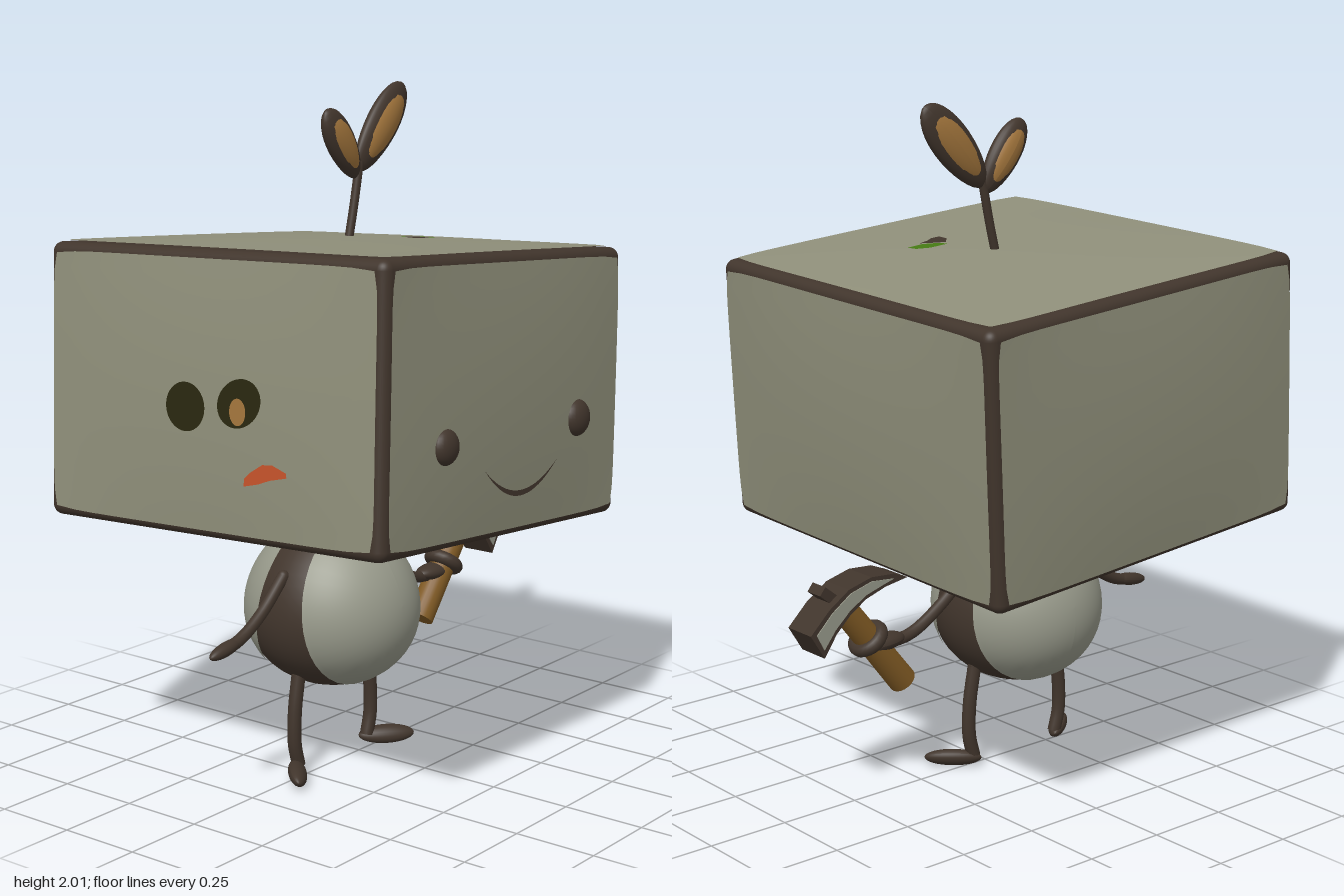
import * as THREE from 'three';
import { RoundedBoxGeometry } from 'three/addons/geometries/RoundedBoxGeometry.js';

const V = (x, y, z) => new THREE.Vector3(x, y, z);

export function createModel() {
  const paint = (name, color) => {
    const m = new THREE.MeshStandardMaterial({ color });
    m.name = name;
    return m;
  };
  const shellGrey = paint('shell grey', 0x8f8f7a);
  const paleGrey = paint('pale grey', 0x989a8b);
  const brown = paint('dark brown', 0x41352c);
  const olive = paint('dark olive', 0x29270f);
  const tan = paint('leaf tan', 0xa2753c);
  const wood = paint('handle wood', 0x805a24);
  const orange = paint('orange', 0xc4522a);
  const green = paint('green', 0x457a14);

  const model = new THREE.Group();
  const add = (name, geometry, material, parent = model) => {
    const mesh = new THREE.Mesh(geometry, material);
    mesh.name = name;
    parent.add(mesh);
    return mesh;
  };
  // Ellipsoid stretched between two points
  const blob = (name, a, b, thick, width, material, taper = 0) => {
    const half = a.distanceTo(b) / 2;
    const g = new THREE.SphereGeometry(1, 24, 16);
    const p = g.attributes.position;
    for (let i = 0; i < p.count; i++) {
      const y = p.getY(i), k = 1 + taper * y;
      p.setXYZ(i, p.getX(i) * thick * k, y * half, p.getZ(i) * width * k);
    }
    g.computeVertexNormals();
    const mesh = add(name, g, material);
    mesh.position.copy(a).lerp(b, 0.5);
    mesh.quaternion.setFromUnitVectors(V(0, 1, 0), b.clone().sub(a).normalize());
    return mesh;
  };
  const tube = (name, points, radius) => {
    add(name, new THREE.TubeGeometry(new THREE.CatmullRomCurve3(points), 16, radius, 12), brown);
    blob(name + 'Root', points[0].clone().setY(points[0].y - radius),
      points[0].clone().setY(points[0].y + radius), radius, radius, brown);
  };
  const polygon = (pts) => new THREE.Shape(pts.map(([x, y]) => new THREE.Vector2(x, y)));

  // Tilted box head: brown frame with a bulging panel on every side
  const W = 1.2, H = 0.79, D = 1.165;
  const head = new THREE.Group();
  head.name = 'head';
  head.position.set(-0.015, 1.162, 0.08);
  head.rotation.set(-0.078, 0.01, 0.04);
  model.add(head);
  add('headFrame', new RoundedBoxGeometry(W, H, D, 4, 0.03), brown, head);

  const bulge = (x, y, w, h) => 0.004 + 0.02 * (1 - (2 * x / w) ** 2) * (1 - (2 * y / h) ** 2);
  const side = (name, w, h, depth, rx, ry) => {
    const turn = new THREE.Group();
    turn.name = name + 'Side';
    turn.rotation.set(rx, ry, 0);
    head.add(turn);
    const g = new THREE.PlaneGeometry(2, 2, 16, 16);
    const p = g.attributes.position;
    for (let i = 0; i < p.count; i++) {
      const u = p.getX(i), v = p.getY(i);
      const x = u * (1 - 0.02 * v ** 10) * (w / 2 - 0.023);
      const y = v * (1 - 0.02 * u ** 10) * (h / 2 - 0.023);
      p.setXYZ(i, x, y, depth / 2 + bulge(x, y, w, h));
    }
    g.computeVertexNormals();
    add(name + 'Panel', g, shellGrey, turn);
    // Thin painted shape that follows the panel
    const decal = (label, shape, material, lift = 0.003) => {
      const s = new THREE.ShapeGeometry(shape, 20);
      const q = s.attributes.position;
      for (let i = 0; i < q.count; i++)
        q.setZ(i, depth / 2 + bulge(q.getX(i), q.getY(i), w, h) + lift);
      add(label, s, material, turn);
    };
    return { turn, decal };
  };
  const front = side('front', W, H, D, 0, 0);
  side('back', W, H, D, 0, Math.PI);
  const face = side('face', D, H, W, 0, Math.PI / 2);
  side('rear', D, H, W, 0, -Math.PI / 2);
  const top = side('top', W, D, H, -Math.PI / 2, 0);
  side('bottom', W, D, H, Math.PI / 2, 0);

  // Painted marks on the front side and the top
  const oval = (x, y, rx, ry, turn = 0) =>
    new THREE.Shape().absellipse(x, y, rx, ry, 0, Math.PI * 2, false, turn);
  front.decal('darkSpotRight', oval(-0.055, -0.033, 0.07, 0.068), olive);
  front.decal('darkSpotLeft', oval(0.135, -0.01, 0.078, 0.064, 0.5), olive);
  front.decal('tanSpot', oval(0.133, -0.033, 0.028, 0.037), tan, 0.006);
  front.decal('orangeMark', polygon([[0.15, -0.233], [0.2, -0.222], [0.24, -0.208], [0.297, -0.196],
    [0.295, -0.183], [0.25, -0.166], [0.215, -0.168], [0.175, -0.192], [0.152, -0.212]]), orange);
  top.decal('greenMark', polygon([[0.16, 0.08], [0.19, 0.09], [0.218, 0.13], [0.218, 0.185],
    [0.185, 0.18], [0.162, 0.145]]), green);
  top.decal('brownMark', polygon([[0.175, 0.075], [0.21, 0.042], [0.25, 0.038], [0.25, 0.07],
    [0.235, 0.095], [0.225, 0.133], [0.205, 0.115]]), brown, 0.005);

  // Face: two button eyes and a crescent smile
  for (const [x, y, r] of [[-0.322, -0.11, 0.05], [0.333, -0.088, 0.054]]) {
    const eye = add('eye', new THREE.SphereGeometry(r, 24, 16), brown, face.turn);
    eye.position.set(x, y, W / 2 + 0.012);
    eye.scale.z = 0.62;
  }
  const smile = new THREE.Shape();
  smile.moveTo(-0.145, -0.192);
  smile.quadraticCurveTo(0.04, -0.37, 0.225, -0.192);
  smile.quadraticCurveTo(0.04, -0.338, -0.145, -0.192);
  face.decal('smile', smile, brown);

  // Egg body with a pale patch on each side of a brown band
  const egg = (name, material, scale, angle, turn) => {
    const g = new THREE.SphereGeometry(1, 40, 24, 0, Math.PI * 2, 0, angle);
    g.rotateZ(turn);
    const p = g.attributes.position;
    for (let i = 0; i < p.count; i++) {
      const y = p.getY(i), k = scale * (1 - 0.08 * y);
      p.setXYZ(i, p.getX(i) * 0.262 * k, y * 0.252 * scale, p.getZ(i) * 0.252 * k);
    }
    g.computeVertexNormals();
    add(name, g, material).position.set(-0.012, 0.503, 0.115);
  };
  egg('body', brown, 1, Math.PI, 0);
  for (const s of [1, -1]) egg('bodyPatch', paleGrey, 1.015, 1.25, -s * (Math.PI / 2 - 0.1));
  const neck = add('neck', new THREE.CylinderGeometry(0.14, 0.14, 0.03, 32), brown);
  neck.position.set(-0.012, 0.75, 0.11);

  // Legs and feet, mirrored about the middle of the body
  for (const s of [1, -1]) {
    const z = (o) => 0.107 + s * o;
    tube('leg', [V(-0.015, 0.32, z(0.16)), V(-0.015, 0.2, z(0.18)),
      V(-0.015, 0.1, z(0.182)), V(-0.015, 0.03, z(0.165))], 0.021);
    blob('foot', V(-0.035, 0.025, z(0.15)), V(0.08, 0.025, z(0.28)), 0.031, 0.024, brown);
  }

  // Arms and hands
  tube('freeArm', [V(-0.02, 0.62, 0.33), V(-0.02, 0.53, 0.43), V(-0.02, 0.478, 0.52), V(-0.02, 0.46, 0.6)], 0.018);
  blob('freeHand', V(-0.02, 0.475, 0.52), V(-0.02, 0.452, 0.65), 0.022, 0.02, brown);
  tube('hammerArm', [V(-0.02, 0.61, -0.1), V(-0.02, 0.53, -0.2), V(-0.02, 0.475, -0.3), V(-0.02, 0.462, -0.4)], 0.018);
  blob('hammerHand', V(-0.02, 0.475, -0.33), V(-0.02, 0.468, -0.49), 0.04, 0.026, brown);

  // Hammer handle gripped by a ring of fingers
  const low = V(-0.015, 0.335, -0.33), high = V(-0.015, 0.63, -0.565);
  const along = high.clone().sub(low).normalize();
  const handle = add('hammerHandle', new THREE.CylinderGeometry(0.038, 0.042, low.distanceTo(high), 20), wood);
  handle.position.copy(low).lerp(high, 0.5);
  handle.quaternion.setFromUnitVectors(V(0, 1, 0), along);
  const grip = add('fingers', new THREE.TorusGeometry(0.043, 0.021, 12, 24), brown);
  grip.position.copy(low).lerp(high, 0.53);
  grip.quaternion.setFromUnitVectors(V(0, 0, 1), along);

  // Curved hammer head with grey cheeks
  const slab = (name, pts, depth, material) => {
    const g = new THREE.ExtrudeGeometry(polygon(pts), { depth, bevelEnabled: false });
    g.translate(0, 0, -depth / 2).rotateY(-Math.PI / 2);
    add(name, g, material).position.x = -0.015;
  };
  slab('hammerHead', [[-0.35, 0.668], [-0.4, 0.688], [-0.48, 0.693], [-0.56, 0.672], [-0.63, 0.625],
    [-0.695, 0.562], [-0.648, 0.487], [-0.605, 0.55], [-0.555, 0.597], [-0.5, 0.632], [-0.43, 0.655]], 0.108, brown);
  slab('hammerCheeks', [[-0.4, 0.674], [-0.48, 0.681], [-0.555, 0.66], [-0.62, 0.615],
    [-0.675, 0.56], [-0.65, 0.513], [-0.61, 0.564], [-0.558, 0.611], [-0.5, 0.645], [-0.43, 0.666]], 0.114, paleGrey);
  const wedge = add('hammerWedge', new THREE.BoxGeometry(0.06, 0.03, 0.075), brown);
  wedge.position.set(-0.015, 0.652, -0.605);
  wedge.rotation.x = 0.68;

  // Sprout: stem and two leaves, each a brown rim around a tan blade
  tube('sproutStem', [V(-0.02, 1.56, 0.025), V(-0.02, 1.66, 0), V(-0.02, 1.79, -0.028)], 0.013);
  for (const [a, b, w] of [
    [V(-0.022, 1.745, -0.02), V(-0.022, 1.945, 0.125), 0.053],
    [V(-0.022, 1.765, -0.02), V(-0.022, 2.002, -0.24), 0.064]]) {
    blob('leafRim', a, b, 0.03, w, brown, 0.12);
    const blade = blob('leafBlade', a, b, 0.034, w * 0.87, tan, 0.12);
    blade.scale.y = 0.9;
  }
  return model;
}
